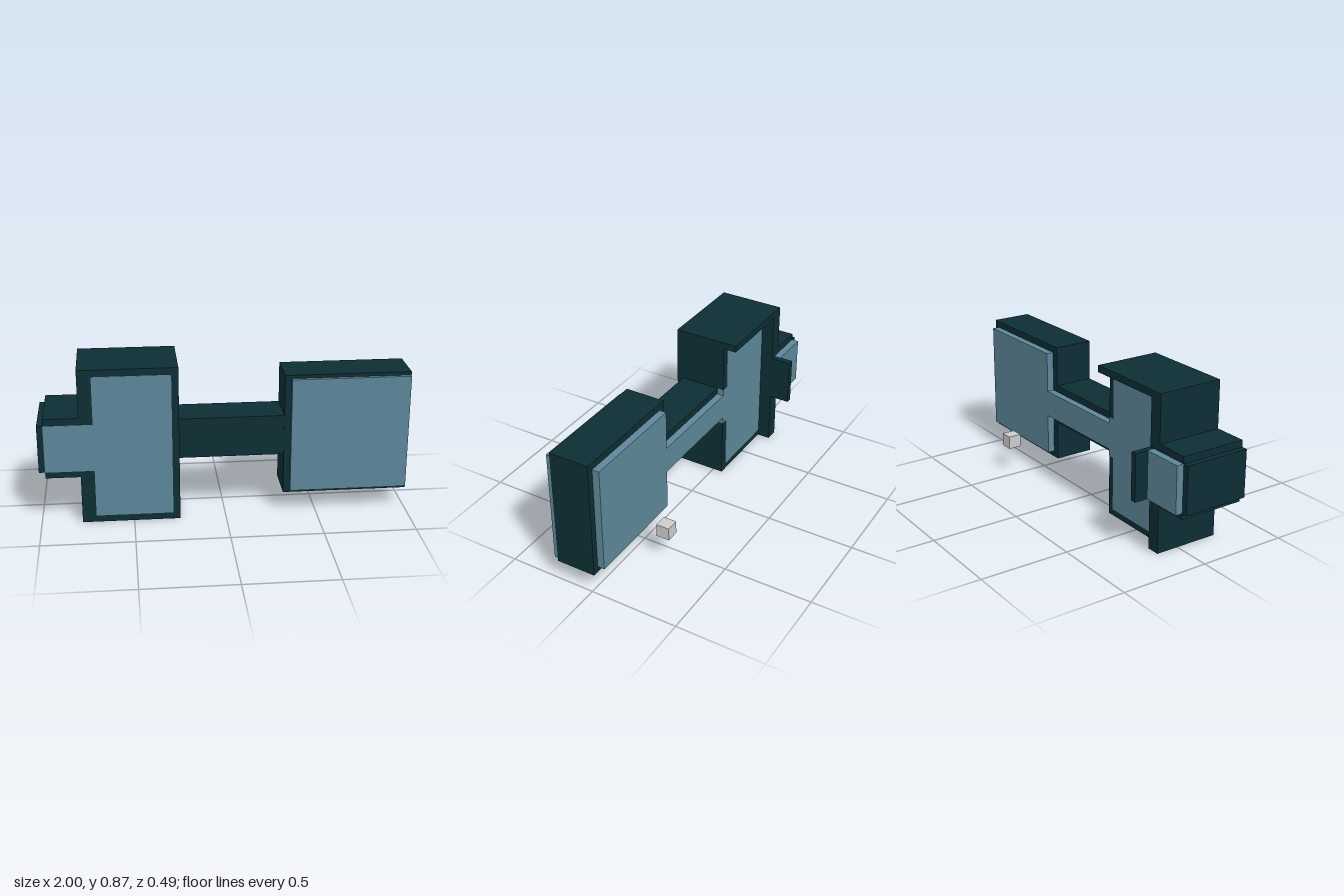
import * as THREE from 'three';

export function createModel() {
  const root = new THREE.Group();
  root.name = 'modularStation';

  const hull = new THREE.MeshStandardMaterial({ color: 0x0d2e34 });
  hull.name = 'darkTealHull';
  const pane = new THREE.MeshStandardMaterial({ color: 0x5d8799 });
  pane.name = 'steelBluePanel';
  const grey = new THREE.MeshStandardMaterial({ color: 0xcccccc });
  grey.name = 'lightGrey';

  // box given by its lower and upper limits on each axis
  const block = (name, material, [x0, x1], [y0, y1], [z0, z1]) => {
    const mesh = new THREE.Mesh(new THREE.BoxGeometry(x1 - x0, y1 - y0, z1 - z0), material);
    mesh.position.set((x0 + x1) / 2, (y0 + y1) / 2, (z0 + z1) / 2);
    mesh.name = name;
    root.add(mesh);
  };

  // tall room: body with a roof lip and one side wall reaching past the back
  block('tallRoom', hull, [-0.78, -0.25], [0, 0.868], [-0.055, 0.243]);
  block('roofLip', hull, [-0.78, -0.25], [0.83, 0.868], [-0.13, -0.055]);
  block('backSideWall', hull, [-0.78, -0.705], [0, 0.83], [-0.13, -0.055]);
  block('tallRoomBackPanel', pane, [-0.705, -0.288], [0.037, 0.83], [-0.058, -0.054]);
  block('doorwayPanel', pane, [-0.288, -0.249], [0.342, 0.566], [-0.058, -0.02]);

  // side pod with a smaller end block
  block('sidePod', hull, [-0.967, -0.78], [0.268, 0.604], [-0.13, 0.243]);
  block('podEndBlock', hull, [-1, -0.967], [0.302, 0.566], [-0.13, 0.243]);
  block('podBackPanel', pane, [-0.967, -0.737], [0.302, 0.566], [-0.17, -0.13]);
  block('podDoorPlate', hull, [-0.737, -0.702], [0.302, 0.566], [-0.245, -0.13]);

  // one T-shaped front panel across the tall room and the pod
  const outline = [
    [-0.967, 0.302], [-0.705, 0.302], [-0.705, 0.037], [-0.288, 0.037],
    [-0.288, 0.83], [-0.705, 0.83], [-0.705, 0.566], [-0.967, 0.566],
  ].map(([x, y]) => new THREE.Vector2(x, y));
  const front = new THREE.Mesh(
    new THREE.ExtrudeGeometry(new THREE.Shape(outline), { depth: 0.003, bevelEnabled: false }), pane);
  front.position.z = 0.242;
  front.name = 'tallRoomFrontPanel';
  root.add(front);

  // corridor with a narrower strip along its back
  block('corridor', hull, [-0.25, 0.32], [0.342, 0.566], [-0.018, 0.206]);
  block('corridorBackStrip', pane, [-0.25, 0.357], [0.38, 0.529], [-0.058, -0.018]);

  // square room with raised panels front and back
  block('squareRoom', hull, [0.318, 1], [0.115, 0.793], [-0.018, 0.208]);
  block('squareRoomFrontPanel', pane, [0.354, 0.997], [0.132, 0.774], [0.208, 0.229]);
  block('squareRoomBackPanel', pane, [0.357, 0.965], [0.149, 0.755], [-0.058, -0.018]);

  // small loose cube floating behind the square room
  block('looseCube', grey, [0.53, 0.605], [0.15, 0.225], [-0.219, -0.144]);

  return root;
}
